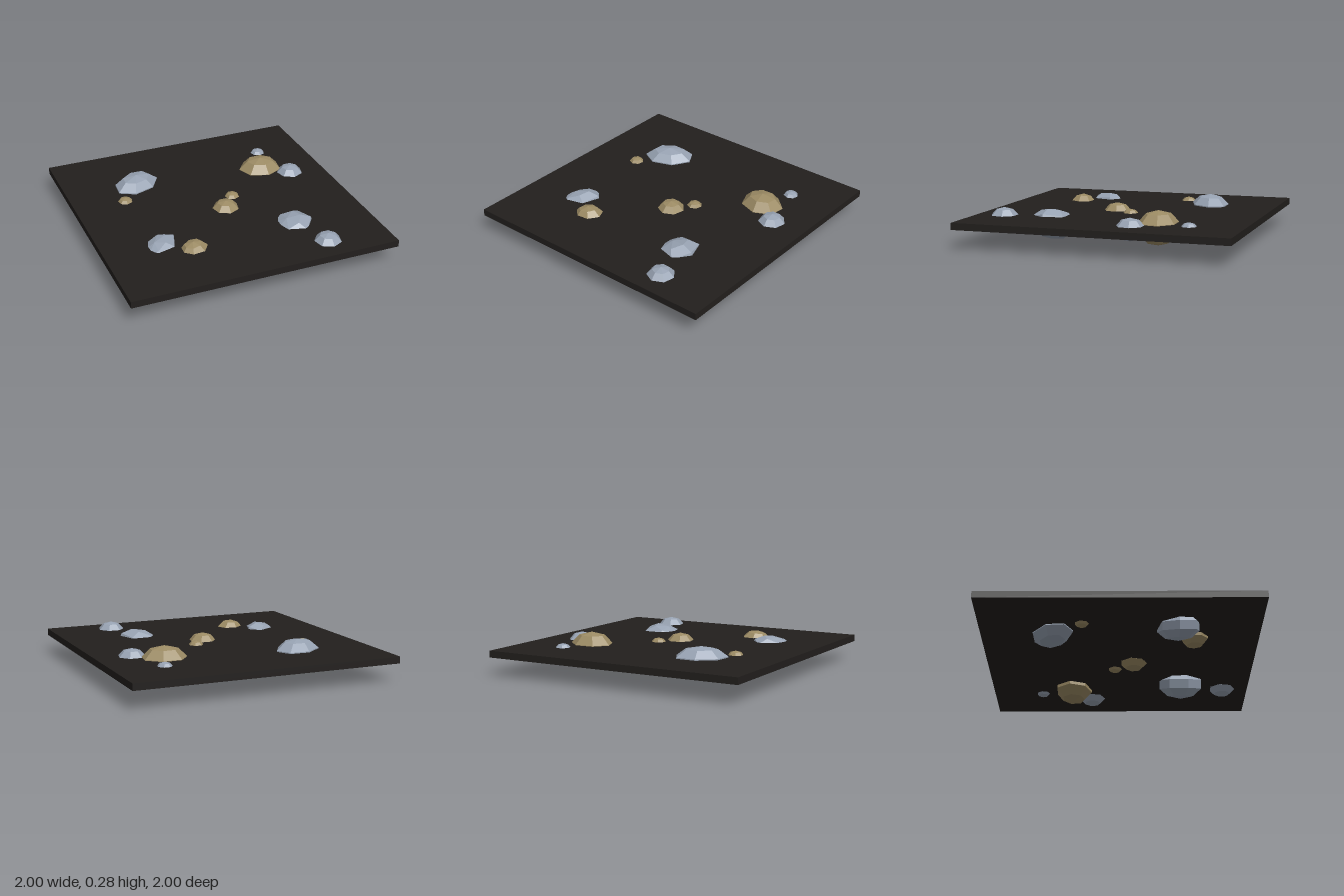
import * as THREE from 'three';

export function createModel() {
  const model = new THREE.Group();
  model.name = 'rockField';

  const slabMaterial = new THREE.MeshStandardMaterial({ color: 0x221f1d });
  const greyStone = new THREE.MeshStandardMaterial({ color: 0x98a3b3, flatShading: true });
  const tanStone = new THREE.MeshStandardMaterial({ color: 0x9c8b64, flatShading: true });

  // Thin square ground slab
  const slab = new THREE.Mesh(new THREE.BoxGeometry(2, 0.05, 2), slabMaterial);
  slab.name = 'groundSlab';
  slab.position.y = 0.18;
  model.add(slab);

  // Coarse seven-sided boulder, stretched and tilted per rock
  const rockGeometry = new THREE.SphereGeometry(1, 7, 5);
  function addRock(name, material, position, radii, yaw = 1.57, roll = 0, pitch = 0) {
    const rock = new THREE.Mesh(rockGeometry, material);
    rock.name = name;
    rock.position.set(...position);
    rock.scale.set(...radii);
    rock.rotation.set(pitch, yaw, roll, 'ZYX');
    model.add(rock);
  }

  // Large boulders
  addRock('longBoulder', greyStone, [-0.45, 0.18, -0.485], [0.2, 0.105, 0.145], 0.5);
  addRock('tanBoulder', tanStone, [0.54, 0.17, -0.37], [0.175, 0.125, 0.148], -0.15);
  addRock('leftBoulder', greyStone, [-0.59, 0.14, 0.41], [0.185, 0.1, 0.13], 0.75, 0.35);
  addRock('rightBoulder', greyStone, [0.41, 0.135, 0.47], [0.18, 0.11, 0.175], 0.3, 0.35);

  // Medium rocks
  const medium = [0.105, 0.082, 0.105];
  addRock('centreRock', tanStone, [0.05, 0.18, 0.1], medium);
  addRock('frontRock', greyStone, [0.54, 0.18, 0.8], medium);
  addRock('sideRock', greyStone, [0.73, 0.18, -0.225], medium);
  addRock('leftRock', tanStone, [-0.375, 0.17, 0.535], [0.115, 0.085, 0.1], 0.4, 0.1);

  // Pebbles
  const pebbles = [
    [tanStone, 0.16, -0.04],
    [tanStone, -0.61, -0.27],
    [greyStone, 0.63, -0.615],
  ];
  pebbles.forEach(([material, x, z], i) => {
    addRock(`pebble${i + 1}`, material, [x, 0.182, z], [0.064, 0.053, 0.064]);
  });

  return model;
}
